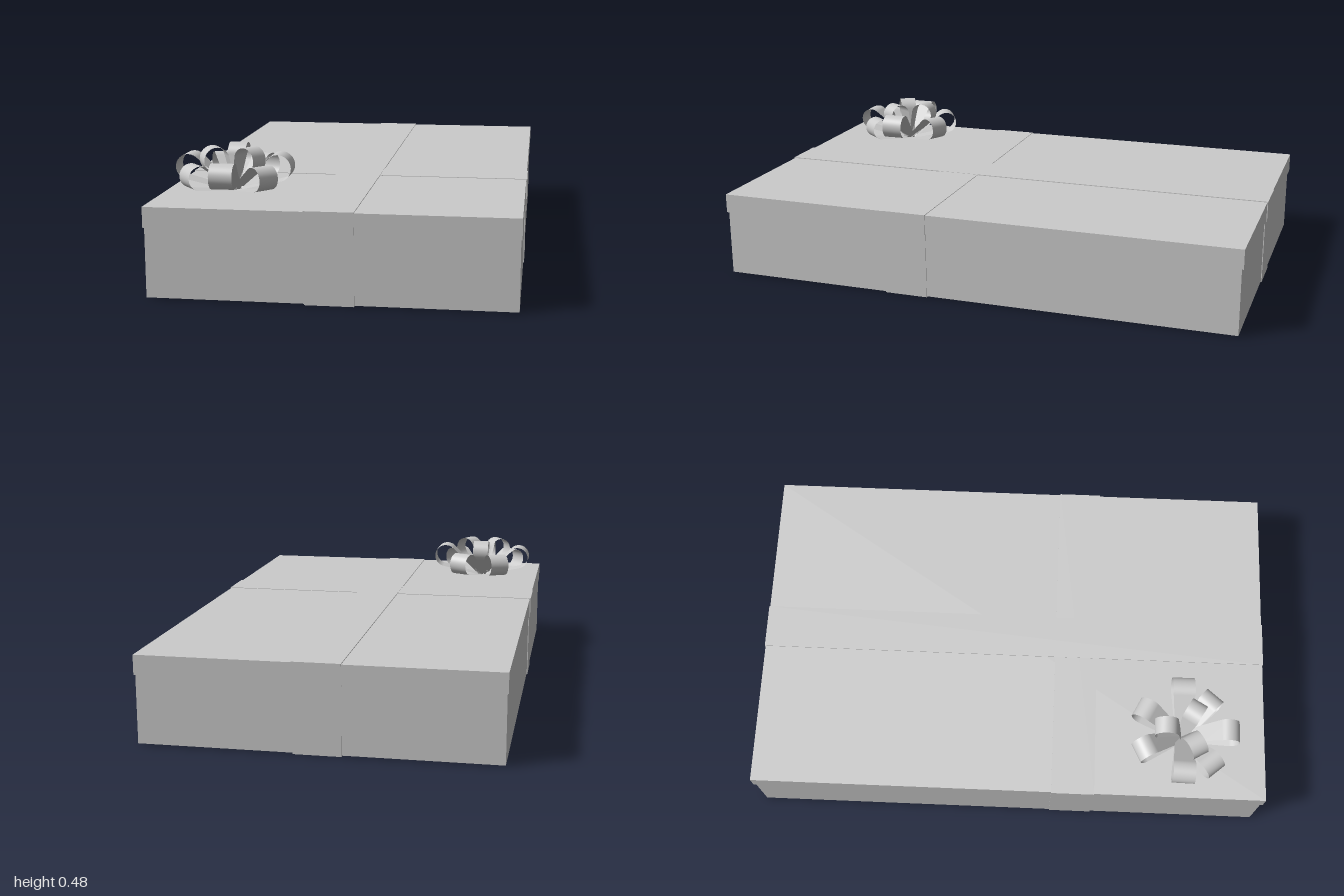
import * as THREE from 'three';

const material = new THREE.MeshStandardMaterial({ color: 0xcccccc });
const ribbonMaterial = new THREE.MeshStandardMaterial({ color: 0xcccccc, side: THREE.DoubleSide });

// Box spanning y0..y1, centred on x = 0 and the given z
function slab(name, width, y0, y1, depth, z = 0) {
  const mesh = new THREE.Mesh(new THREE.BoxGeometry(width, y1 - y0, depth), material);
  mesh.name = name;
  mesh.position.set(0, (y0 + y1) / 2, z);
  return mesh;
}

// Teardrop strip: leaves the knot, rounds a circle at (reach, height), returns to the knot
function loopGeometry(reach, height, radius, width) {
  const dist = Math.hypot(reach, height);
  const tilt = Math.atan2(height, reach);
  const open = Math.acos(radius / dist);
  const start = tilt + Math.PI + open;
  const sweep = 2 * (Math.PI - open);
  const path = [[0, 0]];
  const arcSteps = 24;
  for (let i = 0; i <= arcSteps; i++) {
    const a = start + (sweep * i) / arcSteps;
    path.push([reach + radius * Math.cos(a), height + radius * Math.sin(a)]);
  }
  path.push([0, 0]);

  const positions = [], index = [];
  path.forEach(([x, y], i) => {
    const half = (width / 2) * (0.55 + 0.45 * Math.min(1, Math.hypot(x, y) / dist));
    positions.push(x, y, half, x, y, -half);
    if (i > 0) {
      const k = 2 * i;
      index.push(k - 2, k, k - 1, k, k + 1, k - 1);
    }
  });
  const geometry = new THREE.BufferGeometry();
  geometry.setAttribute('position', new THREE.Float32BufferAttribute(positions, 3));
  geometry.setIndex(index);
  geometry.computeVertexNormals();
  return geometry;
}

export function createModel() {
  const model = new THREE.Group();
  model.name = 'giftBox';

  // Box and overhanging lid
  model.add(slab('boxBody', 1.268, 0.004, 0.25, 1.98));
  model.add(slab('lid', 1.276, 0.25, 0.322, 1.994));

  // Ribbon bands, stepping out with the lid
  model.add(slab('longRibbonLower', 0.17, 0, 0.247, 1.986));
  model.add(slab('longRibbonUpper', 0.17, 0.247, 0.325, 2));
  model.add(slab('crossRibbonLower', 1.274, 0.001, 0.247, 0.166, 0.252));
  model.add(slab('crossRibbonUpper', 1.283, 0.247, 0.324, 0.166, 0.252));

  // Bow: [angle from +x towards +z, reach, height, radius, width]
  const bow = new THREE.Group();
  bow.name = 'bow';
  bow.position.set(-0.395, 0.323, 0.672);
  const loops = [
    [90, 0.17, 0.08, 0.045, 0.083],
    [40, 0.155, 0.062, 0.043, 0.08],
    [140, 0.155, 0.062, 0.043, 0.08],
    [-1, 0.163, 0.088, 0.048, 0.085],
    [181, 0.16, 0.086, 0.046, 0.085],
    [-63, 0.16, 0.07, 0.045, 0.08],
    [-117, 0.16, 0.07, 0.045, 0.08],
    [-90, 0.07, 0.116, 0.046, 0.065],
    [30, 0.074, 0.116, 0.046, 0.065],
    [150, 0.074, 0.116, 0.046, 0.065],
  ];
  loops.forEach(([angle, ...size], i) => {
    const loop = new THREE.Mesh(loopGeometry(...size), ribbonMaterial);
    loop.name = i < 7 ? 'outerBowLoop' : 'innerBowLoop';
    loop.rotation.y = -THREE.MathUtils.degToRad(angle);
    bow.add(loop);
  });
  model.add(bow);
  return model;
}
